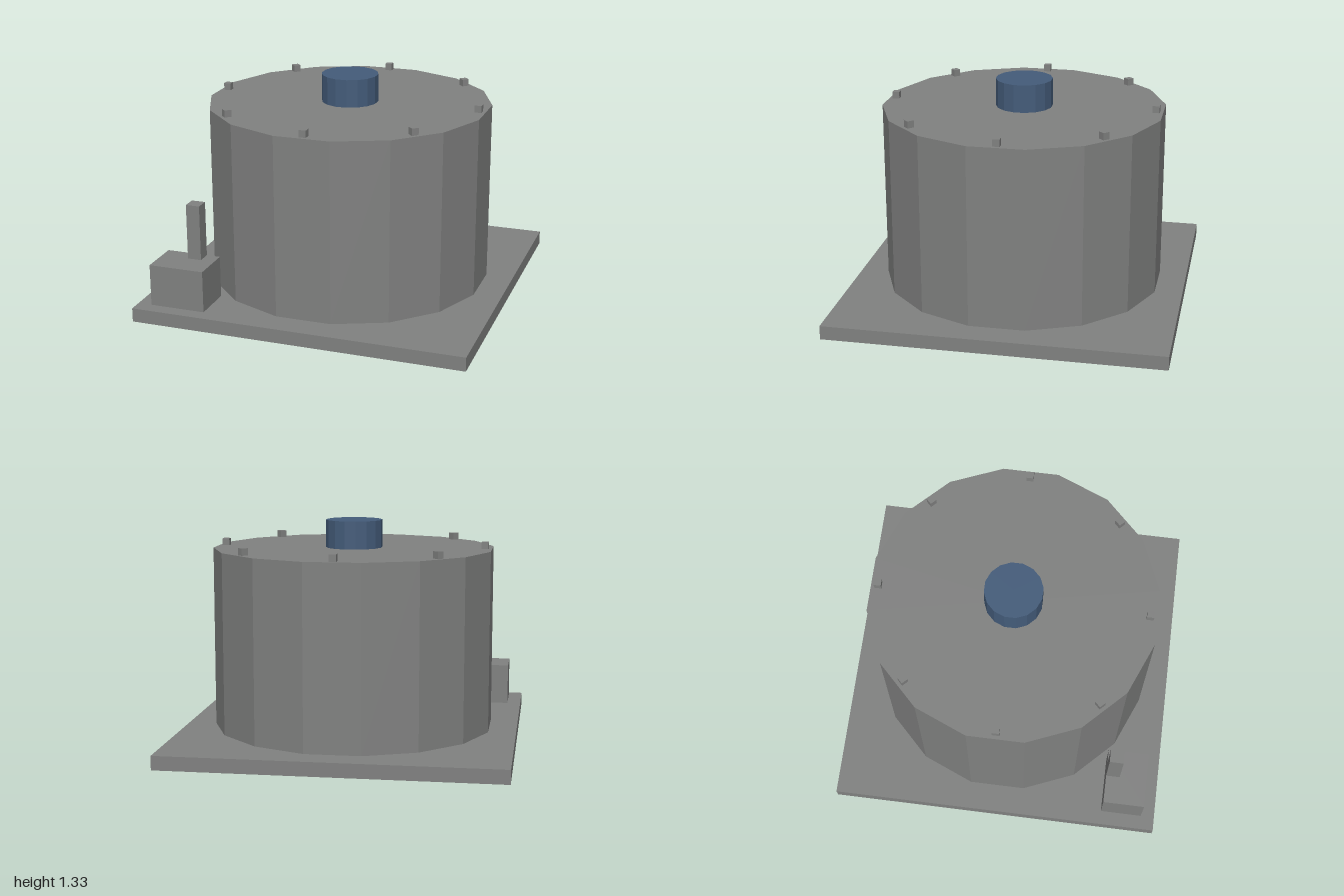
import * as THREE from 'three';

export function createModel() {
  const model = new THREE.Group();
  model.name = 'storageTank';

  const metal = new THREE.MeshStandardMaterial({ color: 0x808180, flatShading: true });
  metal.name = 'grey metal';
  const blue = new THREE.MeshStandardMaterial({ color: 0x445c7a, flatShading: true });
  blue.name = 'dark blue';

  const SIDES = 16;
  const U = 1 / 12; // module unit that all parts snap to

  function add(name, geometry, material, x, y, z) {
    const mesh = new THREE.Mesh(geometry, material);
    mesh.name = name;
    mesh.position.set(x, y, z);
    model.add(mesh);
    return mesh;
  }

  // Box standing on height y
  const box = (name, w, h, d, x, y, z) =>
    add(name, new THREE.BoxGeometry(w, h, d), metal, x, y + h / 2, z);

  // Prism with flat sides facing the axes; apothem is the centre-to-side distance
  function drum(name, apothem, h, y, material) {
    const r = apothem / Math.cos(Math.PI / SIDES);
    const geometry = new THREE.CylinderGeometry(r, r, h, SIDES, 1, false, Math.PI / SIDES);
    return add(name, geometry, material, 0, y + h / 2, 0);
  }

  // Square base plate, tank and top cap
  box('basePlate', 2, U, 2, 0, 0, 0);
  drum('tankBody', 10 * U, 13 * U, U, metal);
  drum('topCap', 2 * U, 2 * U, 14 * U, blue);

  // Ring of bolts around the lid
  for (let i = 0; i < 8; i++) {
    const a = (i * Math.PI) / 4;
    const r = 9.5 * U;
    const bolt = box('lidBolt', U / 2, U / 2, U / 2, r * Math.sin(a), 14 * U, r * Math.cos(a));
    bolt.rotation.y = a;
  }

  // Control box with its upright post in the front corner
  box('controlBox', 4 * U, 3 * U, 3 * U, -9 * U, U, 9.5 * U);
  box('controlPost', U, 4 * U, U, -8.5 * U, 4 * U, 8.5 * U);

  return model;
}
